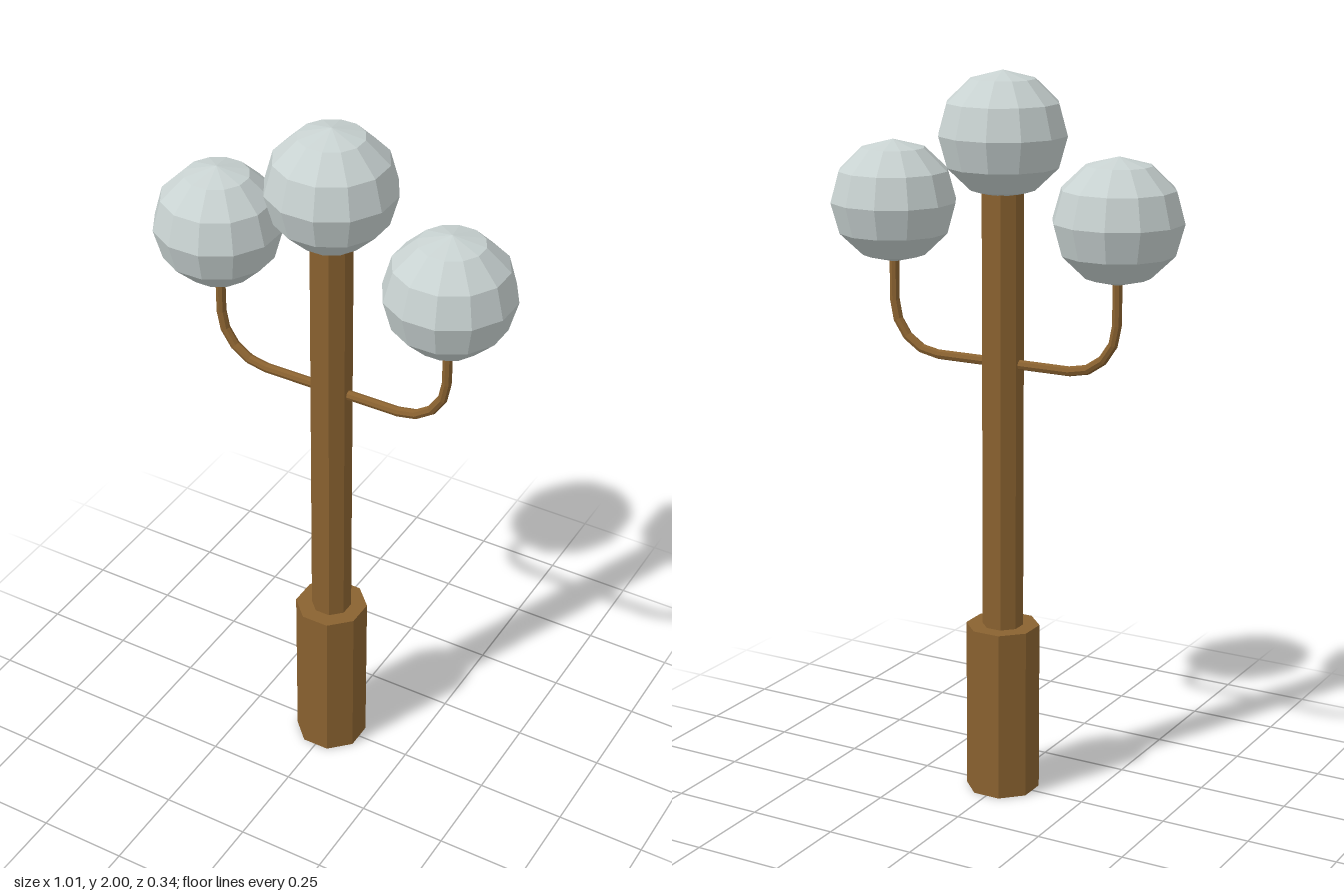
import * as THREE from 'three';

const bronze = new THREE.MeshStandardMaterial({ color: 0x8a6230, flatShading: true });
bronze.name = 'bronze';
const frosted = new THREE.MeshStandardMaterial({ color: 0xc8d2d1, flatShading: true });
frosted.name = 'frostedGlass';

function addMesh(parent, name, geometry, material, x = 0, y = 0) {
  const mesh = new THREE.Mesh(geometry, material);
  mesh.name = name;
  mesh.position.set(x, y, 0);
  parent.add(mesh);
  return mesh;
}

// Octagonal column with flat faces towards the axes, given its half width
function column(halfWidth, height) {
  const r = halfWidth / Math.cos(Math.PI / 8);
  return new THREE.CylinderGeometry(r, r, height, 8).rotateY(Math.PI / 8);
}

// Tube with one ring at each point of the path
function tubeAlong(points, radius, sides) {
  const curve = new THREE.Curve();
  const last = points.length - 1;
  curve.getPoint = (t, target = new THREE.Vector3()) => {
    const i = Math.min(Math.floor(t * last + 1e-9), last - 1);
    return target.lerpVectors(points[i], points[i + 1], t * last - i);
  };
  curve.getPointAt = curve.getPoint;
  curve.getTangentAt = (t, target) => {
    const i = Math.round(t * last);
    const out = target || new THREE.Vector3();
    out.set(0, 0, 0);
    if (i > 0) out.add(points[i].clone().sub(points[i - 1]).normalize());
    if (i < last) out.add(points[i + 1].clone().sub(points[i]).normalize());
    return out.normalize();
  };
  return new THREE.TubeGeometry(curve, last, radius, sides, false);
}

export function createModel() {
  const lamp = new THREE.Group();
  lamp.name = 'streetLamp';

  // Base and post
  addMesh(lamp, 'base', column(0.094, 0.48), bronze, 0, 0.24);
  addMesh(lamp, 'post', column(0.052, 1.24), bronze, 0, 1.1);

  // Globes: twelve sides, flat towards the axes
  const globe = new THREE.SphereGeometry(0.167, 12, 6)
    .rotateY(Math.PI / 12)
    .scale(1.04, 1, 1.04);
  addMesh(lamp, 'topGlobe', globe, frosted, 0, 1.833);

  // Curved arms, each carrying a globe
  const reach = 0.339, armY = 1.222, bend = 0.138;
  for (const [side, s] of [['left', 1], ['right', -1]]) {
    const path = [new THREE.Vector3(0, armY, 0)];
    for (let i = 0; i <= 4; i++) {
      const a = (i / 4) * Math.PI / 2;
      path.push(new THREE.Vector3(
        s * (reach - bend + bend * Math.sin(a)),
        armY + bend - bend * Math.cos(a), 0));
    }
    path.push(new THREE.Vector3(s * reach, 1.5, 0));
    addMesh(lamp, side + 'Arm', tubeAlong(path, 0.0135, 8), bronze);
    addMesh(lamp, side + 'Globe', globe, frosted, s * reach, 1.632);
  }
  return lamp;
}
